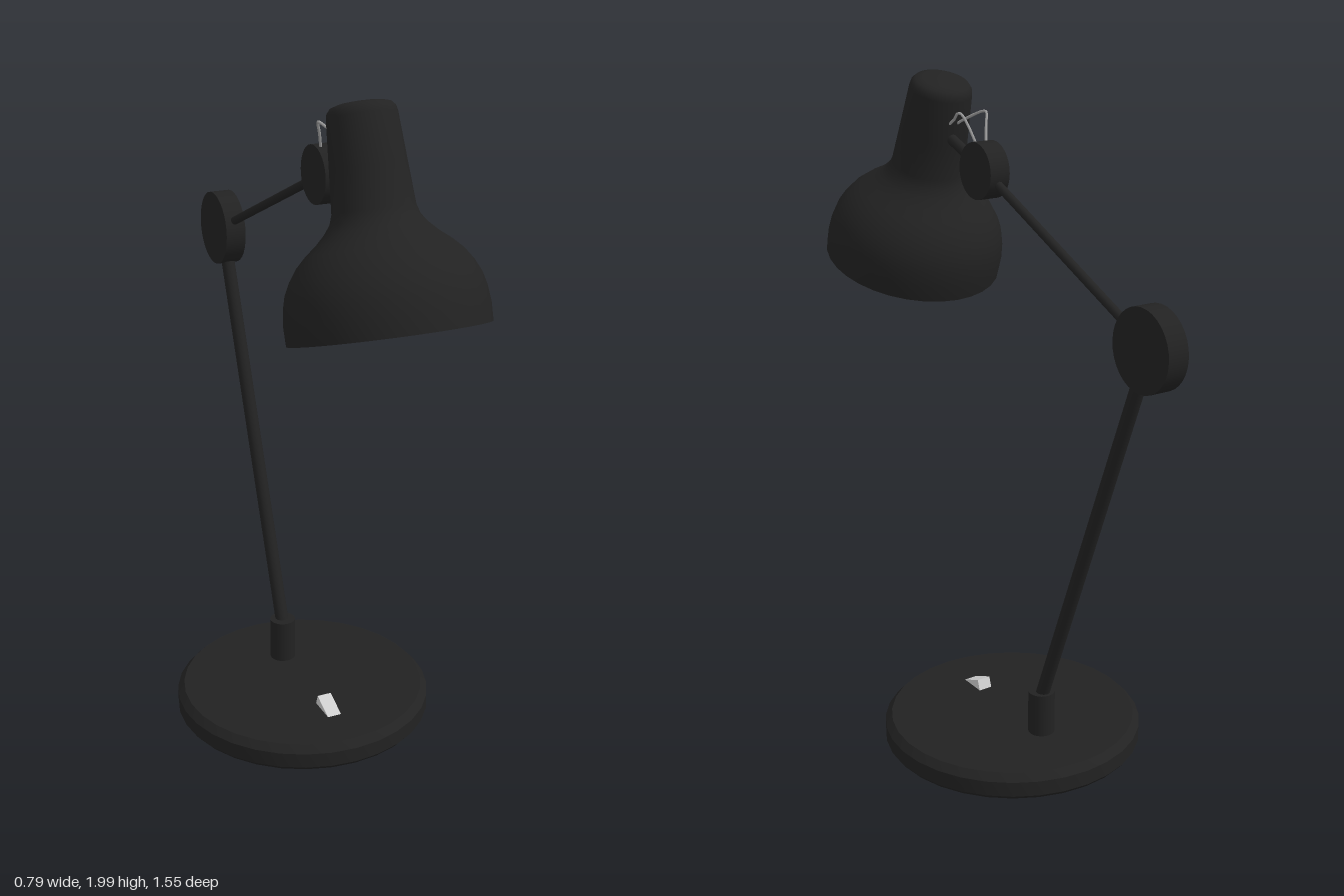
import * as THREE from 'three';
import { toCreasedNormals } from 'three/addons/utils/BufferGeometryUtils.js';

export function createModel() {
  const lamp = new THREE.Group();
  lamp.name = 'deskLamp';
  const black = new THREE.MeshStandardMaterial({ color: 0x222222 });
  black.name = 'matte black';
  const pale = new THREE.MeshStandardMaterial({ color: 0xd0d0d0 });
  pale.name = 'pale grey';
  const steel = new THREE.MeshStandardMaterial({ color: 0xa0a0a0 });
  steel.name = 'steel wire';

  const add = (name, geometry, material, parent = lamp) => {
    const mesh = new THREE.Mesh(geometry, material);
    mesh.name = name;
    parent.add(mesh);
    return mesh;
  };
  const lathe = (points, sides) => toCreasedNormals(
    new THREE.LatheGeometry(points.map(([r, y]) => new THREE.Vector2(r, y)), sides), 0.6);

  // Straight round rod between two points in the x = 0 plane, given as [y, z]
  const rod = (name, [y0, z0], [y1, z1], radius) => {
    const a = new THREE.Vector3(0, y0, z0), b = new THREE.Vector3(0, y1, z1);
    const mesh = add(name, new THREE.CylinderGeometry(radius, radius, a.distanceTo(b), 12), black);
    mesh.position.copy(a).lerp(b, 0.5);
    mesh.quaternion.setFromUnitVectors(new THREE.Vector3(0, 1, 0), b.sub(a).normalize());
  };

  // Flat joint disc lying across the arms
  const disc = (name, y, z, radius) => {
    const mesh = add(name, new THREE.CylinderGeometry(radius, radius, 0.064, 32), black);
    mesh.rotation.z = Math.PI / 2;
    mesh.position.set(0, y, z);
  };

  // Chamfered round base and its post
  add('base', lathe([[0, 0], [0.385, 0], [0.395, 0.012], [0.395, 0.058], [0.375, 0.08], [0, 0.08]], 32), black)
    .position.z = -0.035;
  add('post', new THREE.CylinderGeometry(0.04, 0.04, 0.145, 20), black).position.set(0, 0.1425, -0.192);

  // Wedge shaped switch; shape x runs along z
  const wedge = new THREE.Shape([[-0.217, 0.075], [-0.116, 0.075], [-0.129, 0.112]]
    .map(([x, y]) => new THREE.Vector2(x, y)));
  const wedgeGeometry = new THREE.ExtrudeGeometry(wedge, { depth: 0.044, bevelEnabled: false });
  wedgeGeometry.translate(0, 0, -0.022).rotateY(Math.PI / 2);
  add('switch', wedgeGeometry, pale);

  // Arms and joints
  rod('lowerArm', [0.19, -0.19], [1.402, -0.656], 0.021);
  disc('elbowJoint', 1.402, -0.656, 0.115);
  rod('upperArm', [1.402, -0.656], [1.743, 0.111], 0.013);
  disc('headJoint', 1.743, 0.111, 0.082);
  rod('headMount', [1.743, 0.111], [1.82, 0.32], 0.016);

  // Tilted head: origin at the centre of the rim
  const head = new THREE.Group();
  head.name = 'head';
  head.position.set(0, 1.413, 0.519);
  head.rotation.x = -0.322;
  lamp.add(head);

  // Hollow shade: inside from apex to rim, then outside up to the cap
  add('shade', lathe([
    [0, 0.55], [0.07, 0.55], [0.088, 0.3], [0.12, 0.255], [0.172, 0.205], [0.212, 0.15],
    [0.23, 0.09], [0.234, 0],
    [0.269, 0], [0.27, 0.05], [0.265, 0.095], [0.256, 0.13], [0.24, 0.163], [0.218, 0.195],
    [0.19, 0.223], [0.16, 0.247], [0.135, 0.272], [0.118, 0.295], [0.11, 0.32],
    [0.102, 0.43], [0.093, 0.56], [0.09, 0.574], [0.08, 0.586], [0.06, 0.592], [0, 0.594],
  ], 32), black, head);

  // Bulb with a blunt conical tip, and its socket
  add('bulb', lathe([[0, 0.008], [0.055, 0.04], [0.098, 0.08], [0.108, 0.12], [0.095, 0.17],
    [0.06, 0.23], [0.04, 0.28], [0, 0.28]], 16), pale, head);
  add('socket', new THREE.CylinderGeometry(0.05, 0.05, 0.28, 16), black, head).position.y = 0.41;

  // Mirrored pair of bent wires joining head and joint
  for (const side of [1, -1]) {
    const points = [[0.012, 1.845, 0.29], [0.018, 1.868, 0.245], [0.042, 1.898, 0.18],
      [0.042, 1.897, 0.163], [0.03, 1.865, 0.147], [0.015, 1.81, 0.125]];
    const path = new THREE.CatmullRomCurve3(
      points.map(([x, y, z]) => new THREE.Vector3(side * x, y, z)), false, 'centripetal');
    add(side > 0 ? 'leftWire' : 'rightWire', new THREE.TubeGeometry(path, 24, 0.004, 6), steel);
  }
  return lamp;
}
